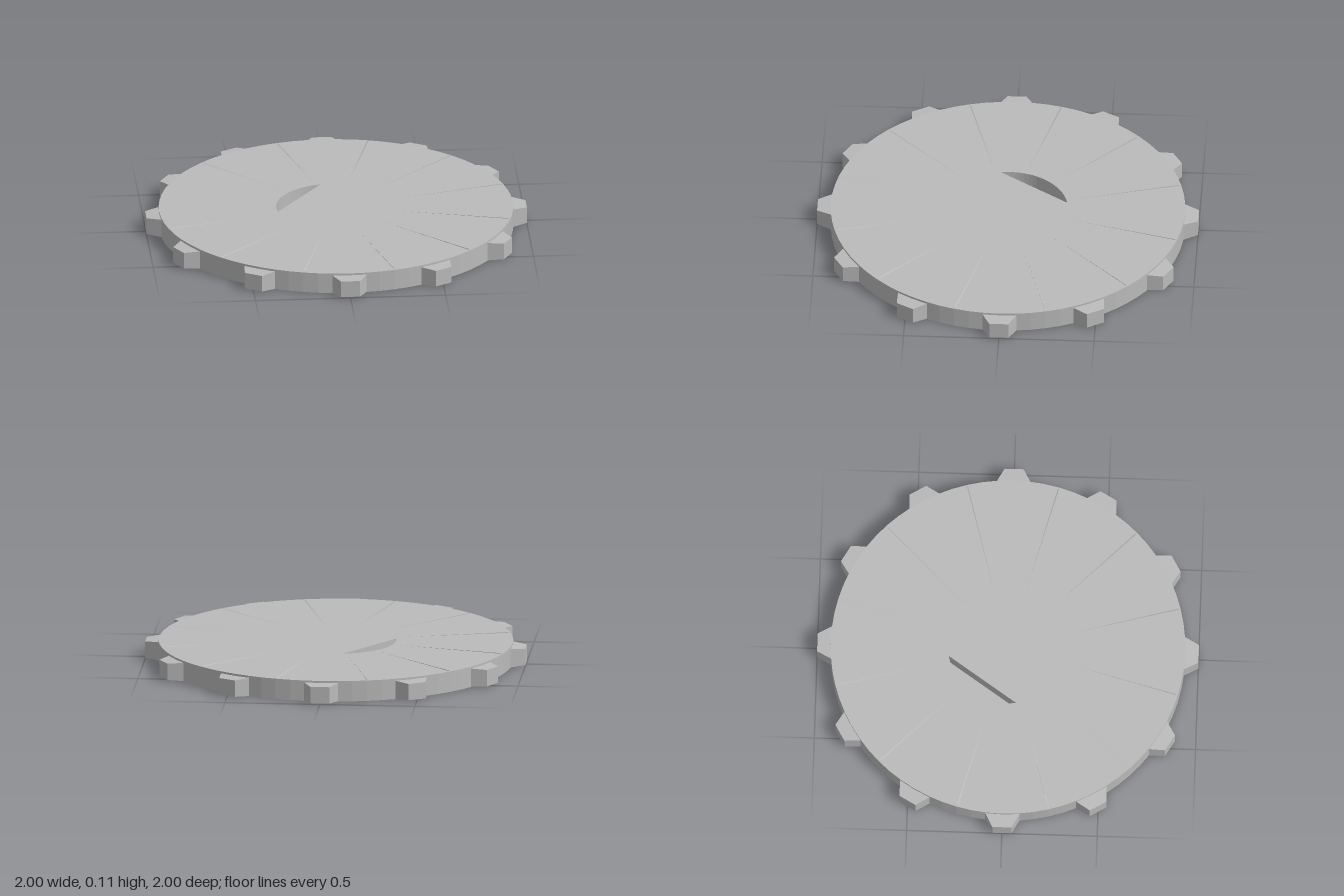
import * as THREE from 'three';

const R = 0.93, TOP = 0.11, RECESS = 0.025, SEGMENTS = 72;

// Regular polygon outline, used for the rim and the underside recess
function ring(Type, radius) {
  const pts = [];
  for (let i = 0; i < SEGMENTS; i++) {
    const a = (i / SEGMENTS) * Math.PI * 2;
    pts.push(new THREE.Vector2(Math.cos(a) * radius, Math.sin(a) * radius));
  }
  return new Type(pts);
}

// Circular segment cut off by a chord
function pocketOutline(Type) {
  const pts = [], r = 0.314, a0 = THREE.MathUtils.degToRad(101), a1 = THREE.MathUtils.degToRad(189.5);
  for (let i = 0; i <= 20; i++) {
    const a = a0 + ((a1 - a0) * i) / 20;
    pts.push(new THREE.Vector2(Math.cos(a) * r, Math.sin(a) * r));
  }
  return new Type(pts);
}

// Horizontal slab between two heights
function slab(shape, y0, y1) {
  const g = new THREE.ExtrudeGeometry(shape, { depth: y1 - y0, bevelEnabled: false });
  return g.rotateX(-Math.PI / 2).translate(0, y0, 0);
}

// Tooth pointing along +x, narrowing outwards
function toothGeometry() {
  const g = new THREE.BoxGeometry(1, 1, 1);
  const p = g.attributes.position;
  for (let i = 0; i < p.count; i++) {
    const outer = p.getX(i) > 0, up = p.getY(i) > 0;
    const half = outer ? 0.05 : 0.093;
    const y = outer ? (up ? 0.094 : 0.006) : (up ? 0.1 : 0.001);
    p.setXYZ(i, outer ? 1 : 0.92, y, Math.sign(p.getZ(i)) * half);
  }
  g.computeVertexNormals();
  return g;
}

// Very thin one-sided crease along +x, widening outwards
function creaseGeometry() {
  const x0 = 0.33, x1 = 0.92, h = 0.003, w = 0.006;
  const g = new THREE.BufferGeometry();
  g.setAttribute('position', new THREE.Float32BufferAttribute([
    x0, 0, 0, x1, h, 0, x1, 0, -w,
    x0, 0, 0, x1, 0, 0, x1, h, 0,
    x1, 0, 0, x1, 0, -w, x1, h, 0,
  ], 3));
  g.computeVertexNormals();
  return g;
}

export function createModel() {
  const group = new THREE.Group();
  const grey = new THREE.MeshStandardMaterial({ color: 0xbababa });
  grey.flatShading = true;
  const greyThin = grey.clone();
  grey.name = 'grey';
  greyThin.name = 'greyThin';
  greyThin.side = THREE.DoubleSide;

  const add = (name, geometry, material = grey, angle = 0) => {
    const mesh = new THREE.Mesh(geometry, material);
    mesh.name = name;
    mesh.rotation.y = angle;
    group.add(mesh);
    return mesh;
  };

  // Upper disc with the pocket cut into it
  const disc = ring(THREE.Shape, R);
  disc.holes.push(pocketOutline(THREE.Path));
  add('disc', slab(disc, RECESS, TOP));

  // Pocket floor
  const floor = new THREE.ShapeGeometry(pocketOutline(THREE.Shape)).rotateX(-Math.PI / 2);
  add('pocketFloor', floor.translate(0, RECESS, 0), greyThin);

  // Lower ring around the underside recess
  const base = ring(THREE.Shape, R);
  base.holes.push(ring(THREE.Path, 0.59));
  add('baseRing', slab(base, 0, RECESS));

  // Teeth around the rim, with fine creases between them on top
  const tooth = toothGeometry(), crease = creaseGeometry();
  for (let i = 0; i < 12; i++) {
    const a = (i * Math.PI) / 6;
    add('tooth', tooth, grey, a);
    add('crease', crease, grey, a + Math.PI / 12).position.y = TOP;
  }
  return group;
}
